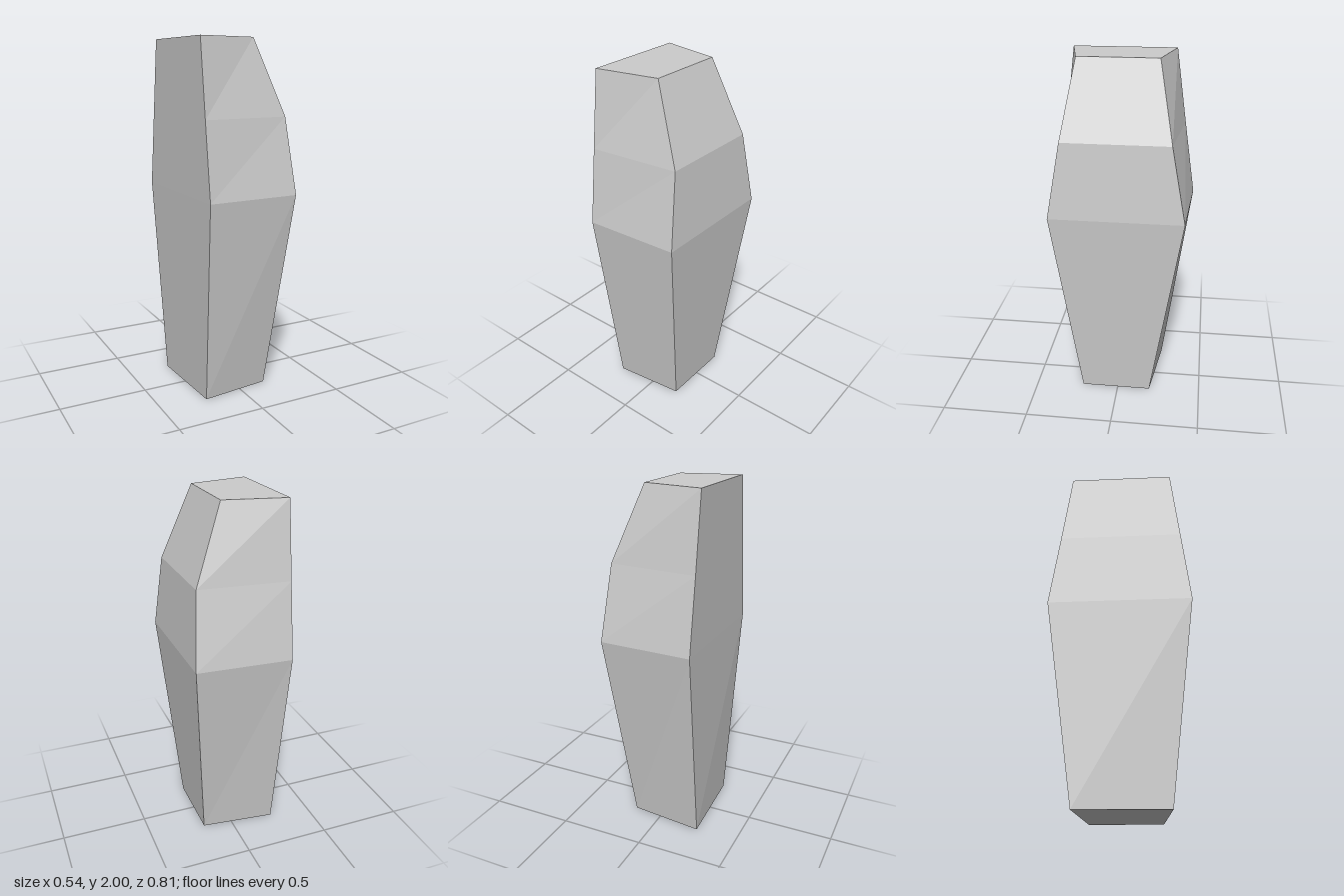
import * as THREE from 'three';

// Cross-sections from bottom to top; corners as [x, z]:
// front left, front right, back right, back left (as seen from the front)
const sections = [
  { y: 0.0, corners: [[-0.23, 0.265], [0.172, 0.215], [0.172, -0.195], [-0.255, -0.245]] },
  { y: 1.155, corners: [[-0.27, 0.406], [0.27, 0.376], [0.27, -0.378], [-0.27, -0.408]] },
  { y: 1.58, corners: [[-0.272, 0.354], [0.236, 0.303], [0.236, -0.297], [-0.272, -0.346]] },
  { y: 2.0, corners: [[-0.273, 0.303], [0.073, 0.23], [0.073, -0.215], [-0.273, -0.287]] },
];

// Lofts the four-cornered sections into a closed faceted solid
function loftSections(list) {
  const rings = list.map(({ y, corners }) => corners.map(([x, z]) => [x, y, z]));
  const positions = [];
  const quad = (a, b, c, d) => positions.push(...a, ...b, ...c, ...a, ...c, ...d);

  for (let i = 0; i < rings.length - 1; i++) {
    const low = rings[i];
    const high = rings[i + 1];
    for (let j = 0; j < 4; j++) {
      const k = (j + 1) % 4;
      quad(low[j], low[k], high[k], high[j]);
    }
  }
  quad(...rings[rings.length - 1]); // top cap
  quad(...[...rings[0]].reverse()); // bottom cap

  const geometry = new THREE.BufferGeometry();
  geometry.setAttribute('position', new THREE.Float32BufferAttribute(positions, 3));
  geometry.computeVertexNormals();
  return geometry;
}

export function createModel() {
  const model = new THREE.Group();
  model.name = 'standingStone';

  // Tapered stone block, widest just above the middle
  const material = new THREE.MeshStandardMaterial({ color: 0xcccccc, flatShading: true });
  const stone = new THREE.Mesh(loftSections(sections), material);
  stone.name = 'stoneBlock';
  model.add(stone);

  return model;
}
